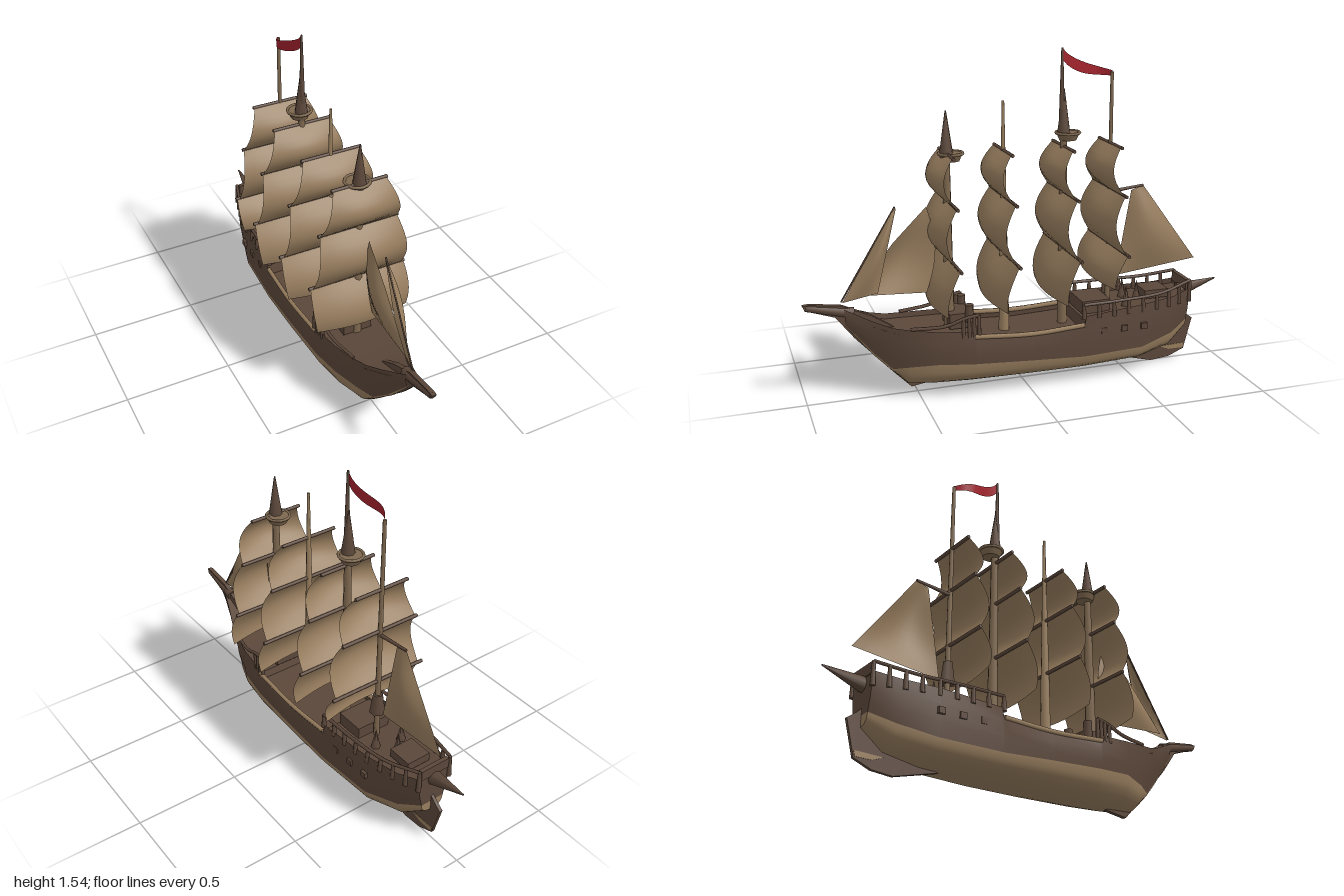
import * as THREE from 'three';
import { toCreasedNormals } from 'three/addons/utils/BufferGeometryUtils.js';

const mat = (name, color, side = THREE.DoubleSide) =>
  Object.assign(new THREE.MeshStandardMaterial({ color, side }), { name });

export function createModel() {
  const ship = new THREE.Group();
  ship.name = 'sailingShip';
  const wood = mat('darkWood', 0x5b473a);
  const canvas = mat('tanCanvas', 0x977d5e);
  const pole = mat('mastWood', 0x7e684f);
  const red = mat('flagRed', 0xa3222c);

  const add = (name, geo, material, x = 0, y = 0, z = 0, parent = ship) => {
    const m = new THREE.Mesh(geo, material);
    m.name = name;
    m.position.set(x, y, z);
    parent.add(m);
    return m;
  };
  // tapered rod between two points
  const rod = (name, a, b, r0, r1, material, parent = ship) => {
    const p = new THREE.Vector3(...a), q = new THREE.Vector3(...b);
    const d = q.clone().sub(p);
    const m = add(name, new THREE.CylinderGeometry(r1, r0, d.length(), 8), material, 0, 0, 0, parent);
    m.position.copy(p).add(q).multiplyScalar(0.5);
    m.quaternion.setFromUnitVectors(new THREE.Vector3(0, 1, 0), d.normalize());
    return m;
  };
  // strip surface through rows of points
  const loft = (rows) => {
    const n = rows[0].length, idx = [];
    for (let i = 0; i < rows.length - 1; i++)
      for (let j = 0; j < n - 1; j++) {
        const a = i * n + j, b = a + n;
        idx.push(a, b, a + 1, b, b + 1, a + 1);
      }
    const g = new THREE.BufferGeometry();
    g.setAttribute('position', new THREE.Float32BufferAttribute(rows.flat(2), 3));
    g.setIndex(idx);
    g.computeVertexNormals();
    return g;
  };
  // cloth patch from four corners with an offset rule
  const cloth = (name, material, [tl, tr, bl, br], offset, parent = ship) => {
    const rows = [];
    for (let i = 0; i <= 10; i++) {
      const v = i / 10, row = [];
      for (let j = 0; j <= 10; j++) {
        const u = j / 10, o = offset(u, v);
        row.push([0, 1, 2].map(k =>
          (tl[k] * (1 - u) + tr[k] * u) * (1 - v) + (bl[k] * (1 - u) + br[k] * u) * v + o[k]));
      }
      rows.push(row);
    }
    return add(name, loft(rows), material, 0, 0, 0, parent);
  };
  // thin centreline plate from a (z, y) outline
  const plate = (name, pts, thick, material) => {
    const s = new THREE.Shape(pts.map(p => new THREE.Vector2(...p)));
    const g = new THREE.ExtrudeGeometry(s, { depth: thick, bevelEnabled: false });
    g.translate(0, 0, -thick / 2).rotateY(-Math.PI / 2);
    return add(name, g, material);
  };

  // Hull stations: z, top half width, top y, waterline half width, waterline y, keel y
  const stations = [
    [-0.82, 0, 0.385, 0, 0.22, 0.17],
    [-0.82, 0.085, 0.385, 0.06, 0.22, 0.17],
    [-0.72, 0.118, 0.365, 0.11, 0.18, 0.09],
    [-0.55, 0.15, 0.355, 0.155, 0.145, 0.06],
    [-0.26, 0.165, 0.335, 0.17, 0.14, 0.052],
    [-0.25, 0.165, 0.285, 0.17, 0.14, 0.052],
    [0, 0.168, 0.275, 0.172, 0.155, 0.05],
    [0.26, 0.167, 0.29, 0.168, 0.17, 0.052],
    [0.27, 0.166, 0.325, 0.168, 0.17, 0.052],
    [0.43, 0.15, 0.335, 0.148, 0.18, 0.055],
    [0.55, 0.122, 0.348, 0.1, 0.165, 0.06],
    [0.62, 0.098, 0.358, 0.06, 0.15, 0.13],
    [0.7, 0.065, 0.385, 0.03, 0.225, 0.21],
    [0.82, 0.022, 0.44, 0.012, 0.37, 0.36],
  ];
  const bottom = stations.map(([z, , , b, yb, k]) => {
    const row = [];
    for (let i = -6; i <= 6; i++) {
      const a = i / 6 * Math.PI / 2;
      row.push([b * Math.sign(i) * Math.abs(Math.sin(a)) ** 0.85, yb - (yb - k) * Math.cos(a) ** 0.85, z]);
    }
    return row;
  });
  add('lowerHull', toCreasedNormals(loft(bottom), 0.7), canvas);
  for (const s of [-1, 1]) {
    const side = stations.map(([z, t, yt, b, yb]) => [0, 0.33, 0.67, 1].map(f =>
      [s * (b + (t - b) * f + 0.006 * Math.sin(f * Math.PI) * Math.sign(t)), yb + (yt - yb) * f, z]));
    add('hullSide', toCreasedNormals(loft(side), 0.7), wood);
  }
  const deck = stations.slice(1).map(([z, t, yt]) => [[-t * 0.98, yt - 0.025, z], [t * 0.98, yt - 0.025, z]]);
  add('deck', toCreasedNormals(loft(deck), 0.5), wood);

  // Stem, bowsprit, rudder and stern horn
  plate('stem', [[1, 0.472], [0.97, 0.474], [0.83, 0.455], [0.7, 0.395], [0.6, 0.33], [0.42, 0.07], [0.42, 0.05],
    [0.53, 0.033], [0.61, 0.115], [0.78, 0.3], [0.86, 0.405], [0.99, 0.45]], 0.022, wood);
  rod('bowsprit', [0, 0.415, 0.78], [0, 0.459, 0.985], 0.026, 0.016, wood);
  plate('rudder', [[-0.8, 0.27], [-0.84, 0.23], [-0.88, 0.2], [-0.84, 0.045], [-0.76, 0.012], [-0.665, 0.003],
    [-0.46, 0.055], [-0.6, 0.085], [-0.7, 0.12]], 0.016, wood);
  plate('rudderPatch', [[-0.71, 0.07], [-0.76, 0.05], [-0.835, 0.05], [-0.842, 0.075]], 0.02, canvas);
  rod('sternHorn', [0, 0.35, -0.8], [0, 0.392, -1], 0.038, 0.003, wood);
  add('sternBoard', new THREE.BoxGeometry(0.15, 0.05, 0.02), wood, 0, 0.4, -0.815);

  // Bulwark rails, posts and gun ports
  for (const s of [-1, 1]) {
    const curve = pts => new THREE.CatmullRomCurve3(pts.map(([x, y, z]) => new THREE.Vector3(s * x, y, z)));
    const rail = (name, pts, r, m) => add(name, new THREE.TubeGeometry(curve(pts), 20, r, 6), m);
    rail('waistRail', [[0.164, 0.293, -0.25], [0.168, 0.283, 0], [0.165, 0.3, 0.27]], 0.011, canvas);
    const aft = [[0.16, 0.388, -0.25], [0.155, 0.39, -0.45], [0.132, 0.395, -0.65], [0.085, 0.425, -0.82]];
    const fore = [[0.162, 0.4, 0.25], [0.158, 0.39, 0.31], [0.15, 0.36, 0.4], [0.122, 0.352, 0.55]];
    rail('quarterRail', aft, 0.008, wood);
    rail('foreRail', fore, 0.008, wood);
    for (let i = 0; i <= 8; i++) {
      const p = curve(aft).getPoint(i / 8);
      rod('railPost', [p.x, 0.32, p.z], [p.x, p.y, p.z], 0.012, 0.008, wood);
    }
    for (let i = 0; i <= 3; i++) {
      const q = curve(fore).getPoint(i / 8);
      rod('railPost', [q.x, 0.3, q.z], [q.x, q.y, q.z], 0.01, 0.008, wood);
    }
    for (const z of [-0.35, -0.45, -0.55])
      add('gunPort', new THREE.BoxGeometry(0.03, 0.028, 0.03), wood, s * 0.156, 0.255, z);
  }

  // Deck fittings
  const box = (name, w, h, d, y, z) => add(name, new THREE.BoxGeometry(w, h, d), wood, 0, y, z);
  box('foreHouse', 0.14, 0.07, 0.1, 0.345, 0.31);
  box('cabin', 0.17, 0.06, 0.14, 0.345, -0.34);
  box('aftHouse', 0.12, 0.04, 0.12, 0.365, -0.66);
  for (const [x, z] of [[0.06, -0.5], [-0.06, -0.53], [0, -0.58]])
    add('deckFitting', new THREE.ConeGeometry(0.025, 0.11, 6), wood, x, 0.37, z);
  for (const x of [-0.07, 0.07])
    add('deckBarrel', new THREE.CylinderGeometry(0.02, 0.02, 0.08, 8), wood, x, 0.38, 0.27);
  add('mizzenTop', new THREE.CylinderGeometry(0.022, 0.036, 0.1, 6), wood, 0, 0.5, -0.43);

  // Masts with three yards and square sails each
  const masts = [
    { name: 'foreMast', z: 0.345, top: 1.16, r: 0.026, r1: 0.015, w: 0.93, m: pole },
    { name: 'secondMast', z: 0.085, top: 1.32, r: 0.026, r1: 0.006, w: 1, m: canvas },
    { name: 'mainMast', z: -0.2, top: 1.2, r: 0.024, r1: 0.016, w: 1, m: pole },
    { name: 'mizzenMast', z: -0.43, top: 1.425, r: 0.014, r1: 0.008, w: 0.97, m: pole },
  ];
  for (const { name, z, top, r, r1, w, m } of masts) {
    const g = new THREE.Group();
    g.name = name;
    ship.add(g);
    rod('mast', [0, 0.25, z], [0, top, z], r, r1, m, g);
    const last = name === 'mizzenMast' ? 0.47 : 0.42;
    // top y, bottom y, half width top, half width bottom, forward belly, sweep of the belly
    for (const [yt, yb, a, b, belly, sweep] of [
      [1.1, 0.89, 0.135, 0.2, 0.08, 1], [0.89, 0.625, 0.2, 0.235, 0.085, 1], [0.625, last, 0.248, 0.24, 0.09, 0.62]]) {
      const zf = z + 0.006;
      cloth('squareSail', canvas,
        [[-a * w, yt, zf], [a * w, yt, zf], [-b * w, yb, zf], [b * w, yb, zf]],
        (u, v) => [0.01 * (2 * u - 1) * Math.sin(v * Math.PI), 0,
          belly * Math.sin(v * Math.PI * sweep) * (0.6 + 0.4 * Math.sin(u * Math.PI))], g);
      const h = (a + 0.006) * w;
      rod('yard', [-h, yt, z], [h, yt, z], 0.008, 0.008, wood, g);
    }
  }

  // Lookout tops and spires
  const lookout = (z, y, tip) => {
    add('lookout', new THREE.CylinderGeometry(0.055, 0.04, 0.035, 10), pole, 0, y, z - 0.02);
    add('lookoutRim', new THREE.TorusGeometry(0.054, 0.007, 6, 16).rotateX(Math.PI / 2), pole, 0, y + 0.016, z - 0.02);
    rod('spire', [0, y + 0.01, z], [0, tip, z], 0.032, 0.003, wood);
  };
  lookout(0.345, 1.085, 1.29);
  lookout(-0.2, 1.145, 1.36);
  rod('flagPole', [0, 1.2, -0.19], [0, 1.54, -0.19], 0.014, 0.005, wood);
  cloth('flag', red, [[0, 1.54, -0.19], [0, 1.432, -0.43], [0, 1.49, -0.19], [0, 1.408, -0.43]],
    (u, v) => [-0.035 * Math.sin(u * u * Math.PI), -0.02 * Math.sin(u ** 0.6 * Math.PI) - 0.012 * v * Math.sin(u * Math.PI), 0]);

  // Fore and aft sails
  const bulge = (k, back = 0) => (u, v) =>
    [k * Math.sin(u * Math.PI) * Math.sin(v * Math.PI), 0, back * u * Math.sin(v * Math.PI)];
  cloth('outerJib', canvas, [[0, 0.88, 0.585], [0, 0.87, 0.575], [0, 0.465, 0.825], [0.02, 0.5, 0.67]], bulge(0.035));
  cloth('innerJib', canvas, [[0, 0.72, 0.59], [0, 0.87, 0.44], [0, 0.49, 0.78], [0.02, 0.48, 0.45]], bulge(-0.035, -0.04));
  cloth('spanker', canvas, [[0, 0.87, -0.54], [0, 0.89, -0.6], [0, 0.46, -0.47], [0.02, 0.515, -0.87]], bulge(0.04));
  rod('gaff', [0, 0.87, -0.43], [0, 0.89, -0.6], 0.009, 0.006, wood);
  rod('foreStay', [0, 0.47, 0.83], [0, 0.88, 0.58], 0.004, 0.004, wood);

  return ship;
}
